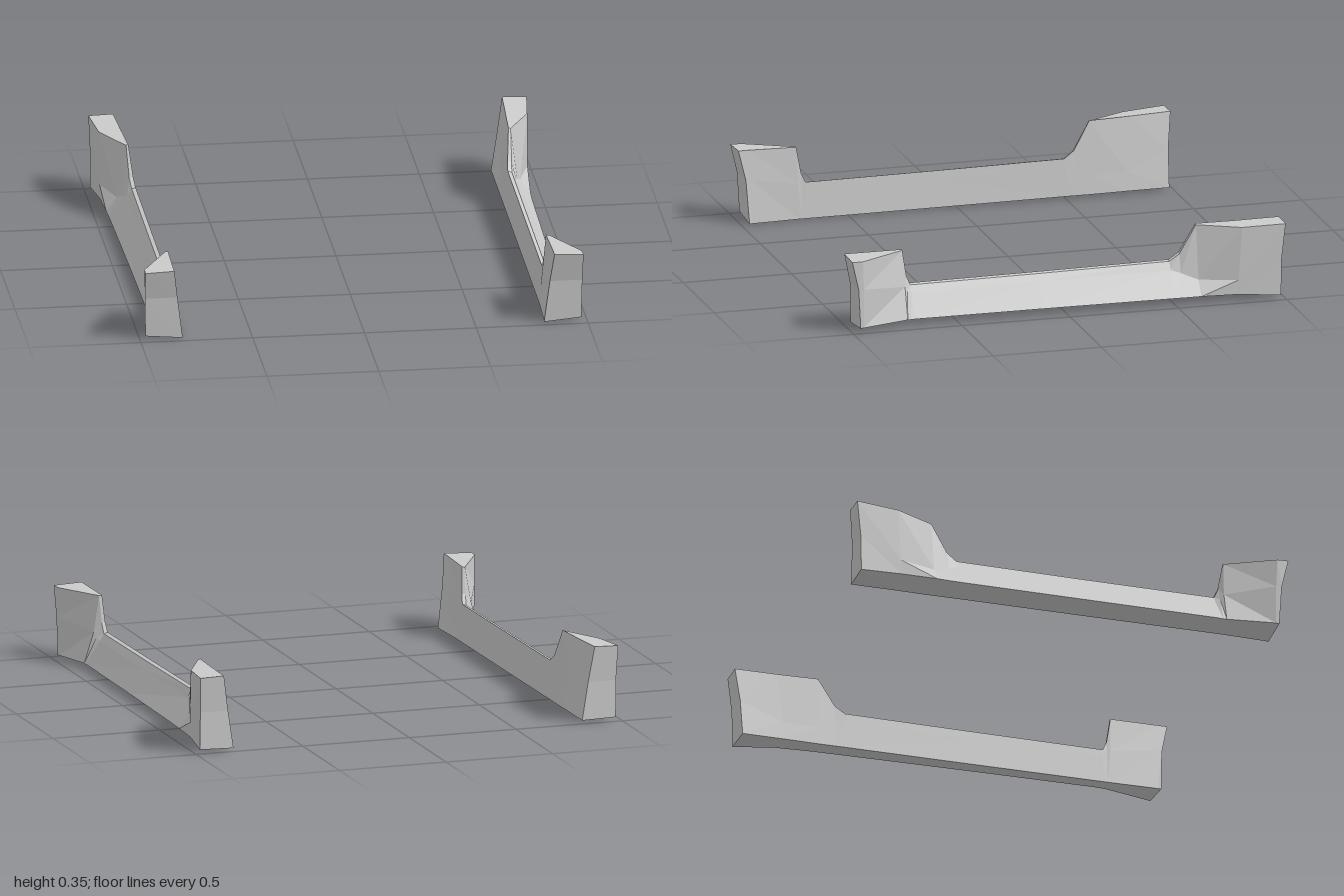
import * as THREE from 'three';

// Cross-sections from front to back:
// z at bottom, middle, top; inner bottom x, y; outer bottom x, y;
// outer middle x, y; outer top x, y; inner top x, y
const SECTIONS = [
  [0.96, 0.97, 1.0, 0.808, 0.005, 0.975, 0.02, 0.978, 0.2, 0.98, 0.33, 0.85, 0.335],
  [0.945, 0.945, 0.95, 0.81, 0.006, 0.973, 0.022, 0.975, 0.2, 0.978, 0.33, 0.85, 0.335],
  [0.73, 0.73, 0.735, 0.816, 0.008, 0.93, 0.03, 0.885, 0.17, 0.858, 0.332, 0.845, 0.333],
  [0.715, 0.715, 0.715, 0.816, 0.008, 0.93, 0.03, 0.875, 0.15, 0.853, 0.212, 0.837, 0.215],
  [0.695, 0.695, 0.695, 0.816, 0.008, 0.93, 0.031, 0.87, 0.135, 0.85, 0.167, 0.832, 0.172],
  [0.1, 0.1, 0.1, 0.817, 0.01, 0.936, 0.033, 0.87, 0.14, 0.85, 0.172, 0.832, 0.177],
  [-0.5, -0.5, -0.5, 0.818, 0.013, 0.945, 0.034, 0.87, 0.145, 0.85, 0.18, 0.832, 0.184],
  [-0.545, -0.545, -0.545, 0.818, 0.013, 0.946, 0.034, 0.88, 0.13, 0.855, 0.212, 0.837, 0.216],
  [-0.62, -0.62, -0.62, 0.818, 0.013, 0.949, 0.035, 0.902, 0.1, 0.86, 0.342, 0.85, 0.346],
  [-0.79, -0.79, -0.805, 0.818, 0.015, 0.955, 0.033, 0.957, 0.1, 0.958, 0.342, 0.86, 0.348],
  [-0.98, -0.983, -1.0, 0.818, 0.016, 0.975, 0.02, 0.975, 0.19, 0.98, 0.35, 0.87, 0.353],
];

// Six corners of one section, counter-clockwise seen from the front
function ring([zb, zm, zt, ax, ay, bx, by, cx, cy, dx, dy, ex, ey]) {
  const t = (cy - ay) / (ey - ay);
  return [
    [ax, ay, zb], [bx, by, zb], [cx, cy, zm], [dx, dy, zt], [ex, ey, zt],
    [ax + (ex - ax) * t, cy, zm],
  ];
}

// Closed loft of one sill; side = 1 is left, -1 is right
function sillGeometry(side) {
  const rings = SECTIONS.map(ring);
  const positions = [];
  const tri = (a, b, c) => {
    for (const [x, y, z] of side > 0 ? [a, b, c] : [a, c, b]) positions.push(x * side, y, z);
  };
  const quad = (a, b, c, d) => { tri(a, b, c); tri(a, c, d); };
  for (let s = 0; s < rings.length - 1; s++) {
    const p = rings[s], q = rings[s + 1];
    for (let i = 0; i < 6; i++) {
      const j = (i + 1) % 6;
      quad(p[i], q[i], q[j], p[j]);
    }
  }
  // Folded end faces
  const f = rings[0], b = rings[rings.length - 1];
  quad(f[0], f[1], f[2], f[5]);
  quad(f[5], f[2], f[3], f[4]);
  quad(b[5], b[2], b[1], b[0]);
  quad(b[4], b[3], b[2], b[5]);
  const geometry = new THREE.BufferGeometry();
  geometry.setAttribute('position', new THREE.Float32BufferAttribute(positions, 3));
  geometry.computeVertexNormals();
  return geometry;
}

export function createModel() {
  const group = new THREE.Group();
  group.name = 'sideSkirts';
  const material = new THREE.MeshStandardMaterial({ color: 0xcccccc, flatShading: true });
  for (const [name, side] of [['leftSideSkirt', 1], ['rightSideSkirt', -1]]) {
    const skirt = new THREE.Mesh(sillGeometry(side), material);
    skirt.name = name;
    group.add(skirt);
  }
  return group;
}
